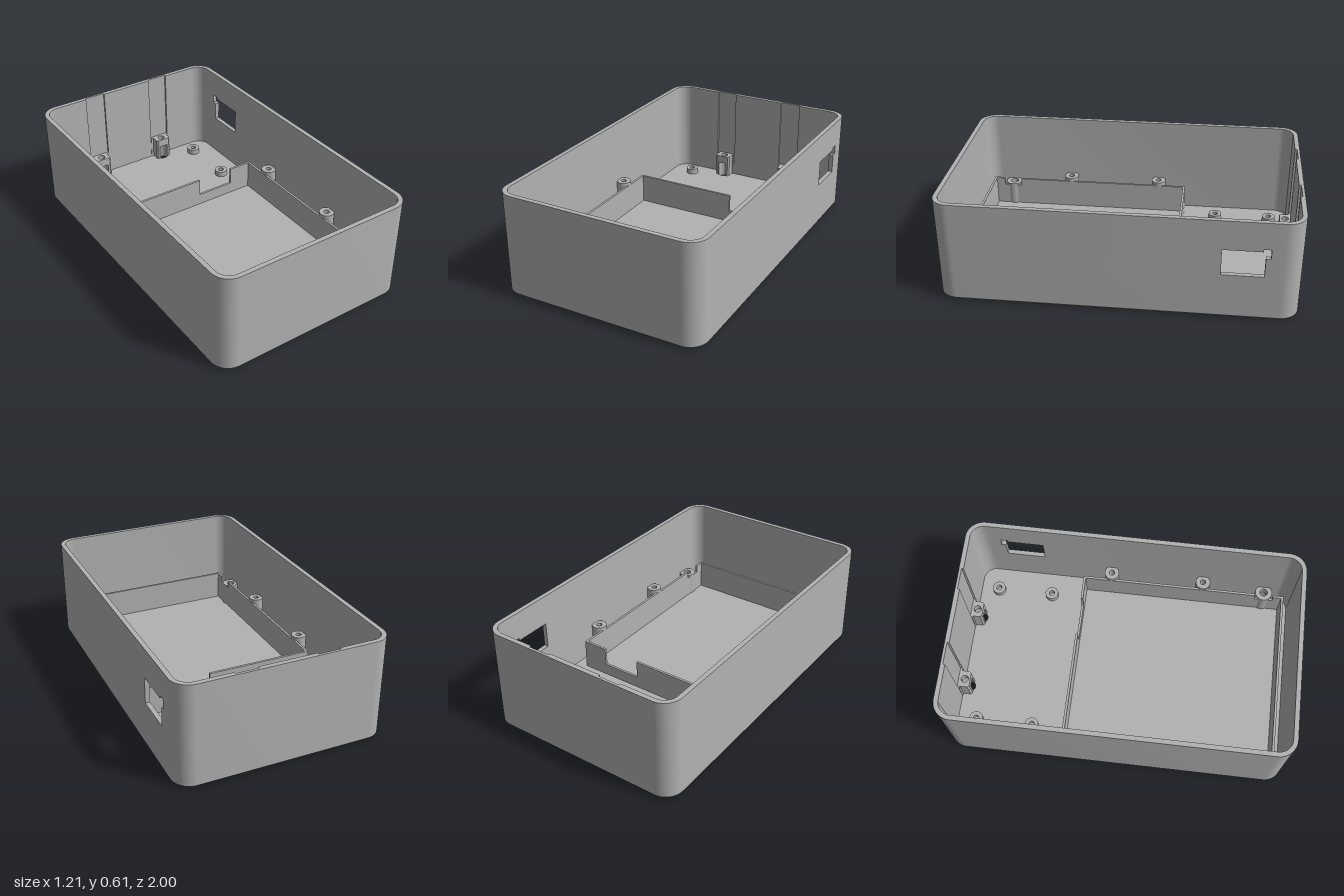
import * as THREE from 'three';
import { toCreasedNormals } from 'three/addons/utils/BufferGeometryUtils.js';

const W = 0.607, L = 1, H = 0.61, R = 0.105;   // outer half width, half length, height, corner radius
const WALL = 0.027, CHAMFER = 0.02, FLOOR = 0.03;

const casing = new THREE.MeshStandardMaterial({ color: 0xb2b2b2 });
casing.name = 'casing grey';

const V = (x, y) => new THREE.Vector2(x, y);
const poly = (pts) => new THREE.Shape(pts.map(([x, y]) => V(x, y)));

// Arc points round a centre
function arc(cx, cy, r, a0, a1, n = 12) {
  return Array.from({ length: n + 1 }, (_, i) => {
    const a = a0 + (a1 - a0) * i / n;
    return [cx + r * Math.cos(a), cy + r * Math.sin(a)];
  });
}

// Four rounded corners, counter-clockwise, moved inward by an inset
function corners(inset) {
  return [[1, 1], [-1, 1], [-1, -1], [1, -1]].map(([sx, sy], i) =>
    arc(sx * (W - R), sy * (L - R), R - inset, i * Math.PI / 2, (i + 1) * Math.PI / 2));
}

function circleHole(x, y, r) {
  return new THREE.Path().absarc(x, y, r, 0, Math.PI * 2, true);
}

function part(name, geo) {
  const m = new THREE.Mesh(toCreasedNormals(geo, 0.5), casing);
  m.name = name;
  return m;
}

const extrude = (shape, depth) =>
  new THREE.ExtrudeGeometry(shape, { depth, bevelEnabled: false, curveSegments: 24 });

// Plan shapes use (x, -z) and rise from y0 to y1
const rise = (shape, y0, y1) => extrude(shape, y1 - y0).rotateX(-Math.PI / 2).translate(0, y0, 0);

// Side shapes use (-z, y) and run along x
const alongX = (shape, x0, x1) => extrude(shape, x1 - x0).rotateY(Math.PI / 2).translate(x0, 0, 0);

// Round post with a hole
function tube(name, x, z, r, hole, y0, y1) {
  const s = new THREE.Shape().absarc(x, -z, r, 0, Math.PI * 2, false);
  if (hole) s.holes.push(circleHole(x, -z, hole));
  return part(name, rise(s, y0, y1));
}

export function createModel() {
  const g = new THREE.Group();
  g.name = 'enclosureBase';

  const SCREW = 0.024, BORE = 0.037, BORE_TOP = 0.12, SCREW_TOP = 0.17;
  const frontScrew = { x: 0.545, z: 0.81 }, backScrew = { x: 0.23, z: -0.942 };

  // Floor with the screw-head bores
  const floor = poly(corners(CHAMFER).flat());
  for (const s of [-1, 1]) for (const p of [frontScrew, backScrew])
    floor.holes.push(circleHole(s * p.x, -p.z, BORE));
  g.add(part('floor', rise(floor, 0, FLOOR)));

  // Chamfered lower edge
  const low = corners(CHAMFER).flat(), high = corners(0).flat(), n = low.length;
  const pos = [], idx = [];
  for (let i = 0; i < n; i++) {
    pos.push(low[i][0], 0, -low[i][1], high[i][0], CHAMFER, -high[i][1]);
    const a = 2 * i, b = 2 * ((i + 1) % n);
    idx.push(a, b, b + 1, a, b + 1, a + 1);
  }
  const edge = new THREE.BufferGeometry();
  edge.setAttribute('position', new THREE.Float32BufferAttribute(pos, 3));
  edge.setIndex(idx);
  g.add(part('bottomChamfer', edge));

  // Outer wall, left open where the port panel fits, with two grooves in the back
  const P0 = 0.54, P1 = 0.85, inX = W - WALL, inZ = L - WALL, groove = 0.985;
  const inner = corners(WALL).map((c) => c.reverse());
  const grooves = [-1, 1].flatMap((s) => {
    const a = s * backScrew.x - 0.065, b = s * backScrew.x + 0.065;
    return [[a, inZ], [a, groove], [b, groove], [b, inZ]];
  });
  g.add(part('outerWall', rise(poly([
    [W, P1], ...corners(0).flat(), [W, P0], [inX, P0],
    ...inner[3], ...inner[2], ...inner[1], ...grooves, ...inner[0], [inX, P1],
  ]), CHAMFER, H)));

  // Wall panel with the stepped port opening
  const panel = poly([[P0, CHAMFER], [P1, CHAMFER], [P1, H], [P0, H]]);
  panel.holes.push(new THREE.Path([
    V(0.567, 0.28), V(0.567, 0.435), V(0.783, 0.435), V(0.783, 0.45),
    V(0.825, 0.45), V(0.825, 0.393), V(0.798, 0.393), V(0.798, 0.28),
  ]));
  g.add(part('portPanel', alongX(panel, inX, W)));

  // Thin tray walls: sides dip at the front screws, back has a cable gap
  const T = 0.206, X0 = 0.5, X1 = 0.514;
  const side = poly([
    [-0.93, FLOOR], [0.318, FLOOR], [0.318, T], [-0.755, T],
    [-0.755, SCREW_TOP - 0.01], [-0.865, SCREW_TOP - 0.01], [-0.865, T], [-0.93, T],
  ]);
  g.add(part('trayLeftWall', alongX(side, X0, X1)));
  g.add(part('trayRightWall', alongX(side, -X1, -X0)));
  const back = poly([
    [-X0, FLOOR], [X0, FLOOR], [X0, T], [0.36, T], [0.36, 0.1], [0.125, 0.1], [0.125, T], [-X0, T],
  ]);
  g.add(part('trayBackWall', extrude(back, 0.014).translate(0, 0, -0.318)));
  const front = poly([[-X0, FLOOR], [X0, FLOOR], [X0, T], [-X0, T]]);
  g.add(part('trayFrontWall', extrude(front, 0.014).translate(0, 0, 0.916)));

  for (const s of [-1, 1]) {
    // Tall side posts with blind pilot holes
    for (const z of [-0.145, 0.425]) {
      g.add(tube('sidePost', s * 0.545, z, 0.045, 0, FLOOR, 0.13));
      g.add(tube('sidePostTop', s * 0.545, z, 0.045, 0.017, 0.13, 0.228));
    }
    // Short board standoffs
    for (const z of [-0.86, -0.52])
      g.add(tube('standoff', s * 0.435, z, 0.04, 0.017, FLOOR, 0.065));

    // Front screw posts, bored wide below and narrow above
    const { x, z } = frontScrew;
    g.add(tube('frontScrewPost', s * x, z, 0.052, BORE, FLOOR, BORE_TOP));
    g.add(tube('frontScrewPostTop', s * x, z, 0.052, SCREW, BORE_TOP, SCREW_TOP));

    // Back screw blocks: the wide bore breaks out through the front face
    const cx = s * backScrew.x, cy = -backScrew.z, f = 0.915;
    const open = Math.asin((cy - f) / BORE);
    const leftHalf = [[cx + 0.065, 0.986], [cx - 0.065, 0.986], [cx - 0.065, 0.97],
      [cx - 0.05, 0.97], [cx - 0.05, f + 0.01], [cx - 0.04, f]];
    const rightHalf = [[cx + 0.04, f], [cx + 0.05, f + 0.01], [cx + 0.05, 0.97], [cx + 0.065, 0.97]];
    const slot = arc(cx, cy, BORE, Math.PI + open, -open, 20);
    g.add(part('backScrewBlock', rise(poly([...leftHalf, ...slot, ...rightHalf]), FLOOR, BORE_TOP)));
    const cap = poly([...leftHalf, ...rightHalf]);
    cap.holes.push(circleHole(cx, 0.948, SCREW - 0.002));
    g.add(part('backScrewBlockTop', rise(cap, BORE_TOP, SCREW_TOP)));
  }
  return g;
}
